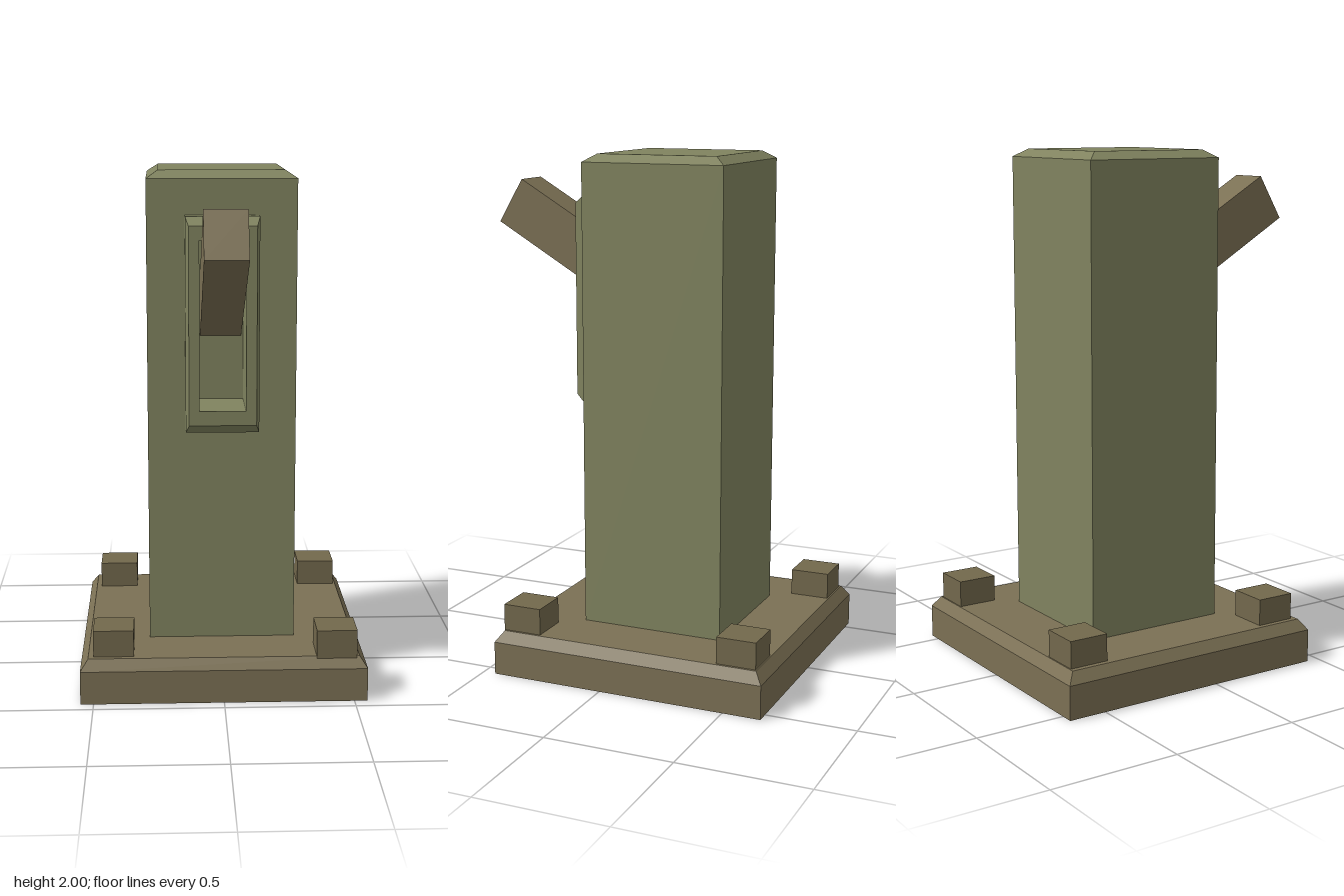
import * as THREE from 'three';

const green = new THREE.MeshStandardMaterial({ color: 0x80835f, flatShading: true });
const brown = new THREE.MeshStandardMaterial({ color: 0x7b7054, flatShading: true });
const darkBrown = new THREE.MeshStandardMaterial({ color: 0x72684c, flatShading: true });

// Lofts rectangular rings [x0, x1, y0, y1, z] along z; skip(segment, side) leaves a side open.
function loft(rings, { startCap = false, endCap = true, skip = () => false } = {}) {
  const pos = [];
  const corners = ([x0, x1, y0, y1, z]) => [[x0, y0, z], [x1, y0, z], [x1, y1, z], [x0, y1, z]];
  const quad = (a, b, c, d) => pos.push(...a, ...b, ...c, ...a, ...c, ...d);
  const loops = rings.map(corners);
  for (let s = 0; s < loops.length - 1; s++) {
    const a = loops[s], b = loops[s + 1];
    for (let i = 0; i < 4; i++) {
      const j = (i + 1) % 4;
      if (!skip(s, i)) quad(a[i], a[j], b[j], b[i]);
    }
  }
  if (startCap) quad(...[...loops[0]].reverse());
  if (endCap) quad(...loops[loops.length - 1]);
  const geo = new THREE.BufferGeometry();
  geo.setAttribute('position', new THREE.Float32BufferAttribute(pos, 3));
  geo.computeVertexNormals();
  return geo;
}

export function createModel() {
  const model = new THREE.Group();
  model.name = 'leverPost';
  const add = (name, geo, mat, parent = model) => {
    const mesh = new THREE.Mesh(geo, mat);
    mesh.name = name;
    parent.add(mesh);
    return mesh;
  };

  // Bevelled base slab
  add('base', loft([
    [-0.55, 0.55, -0.45, 0.65, 0],
    [-0.55, 0.55, -0.45, 0.65, 0.13],
    [-0.52, 0.52, -0.42, 0.62, 0.172],
  ], { startCap: true }).rotateX(-Math.PI / 2), brown);

  // Bolt blocks on the base corners
  const bolts = [[-0.4225, -0.5375], [0.4325, -0.5375], [-0.4225, 0.3225], [0.4325, 0.348]];
  for (const [x, z] of bolts) {
    add('bolt', new THREE.BoxGeometry(0.155, 0.125, 0.155), darkBrown).position.set(x, 0.213, z);
  }

  // Column with a bevelled top; its front is a separate panel with a slot
  const column = new THREE.Group();
  column.name = 'column';
  model.add(column);
  add('columnShaft', loft([
    [-0.285, 0.285, -0.185, 0.385, 0.17],
    [-0.285, 0.285, -0.185, 0.385, 1.97],
    [-0.24, 0.24, -0.14, 0.34, 2],
  ], { skip: (segment, side) => segment === 0 && side === 0 }).rotateX(-Math.PI / 2), green, column);

  const rect = (shape, x0, x1, y0, y1) =>
    shape.moveTo(x0, y0).lineTo(x1, y0).lineTo(x1, y1).lineTo(x0, y1).closePath();
  const front = rect(new THREE.Shape(), -0.285, 0.285, 0.17, 1.97);
  front.holes.push(rect(new THREE.Path(), -0.088, 0.088, 1.105, 1.75));
  add('columnFront', new THREE.ShapeGeometry(front).translate(0, 0, 0.185), green, column);

  // Bevelled slot frame that turns inward to form the recess
  add('slotFrame', loft([
    [-0.14, 0.14, 1.015, 1.835, 0.185],
    [-0.14, 0.14, 1.015, 1.835, 0.25],
    [-0.128, 0.128, 1.05, 1.803, 0.29],
    [-0.088, 0.088, 1.105, 1.75, 0.29],
    [-0.088, 0.088, 1.105, 1.75, 0.04],
  ]), green);

  // Lever sloping up and out of the slot
  const tilt = THREE.MathUtils.degToRad(30.5), length = 0.74;
  const lever = add('lever', new THREE.BoxGeometry(0.16, 0.197, length), brown);
  lever.rotation.x = -tilt;
  lever.position.set(0, 1.8 - Math.sin(tilt) * length / 2, 0.6 - Math.cos(tilt) * length / 2);

  return model;
}
